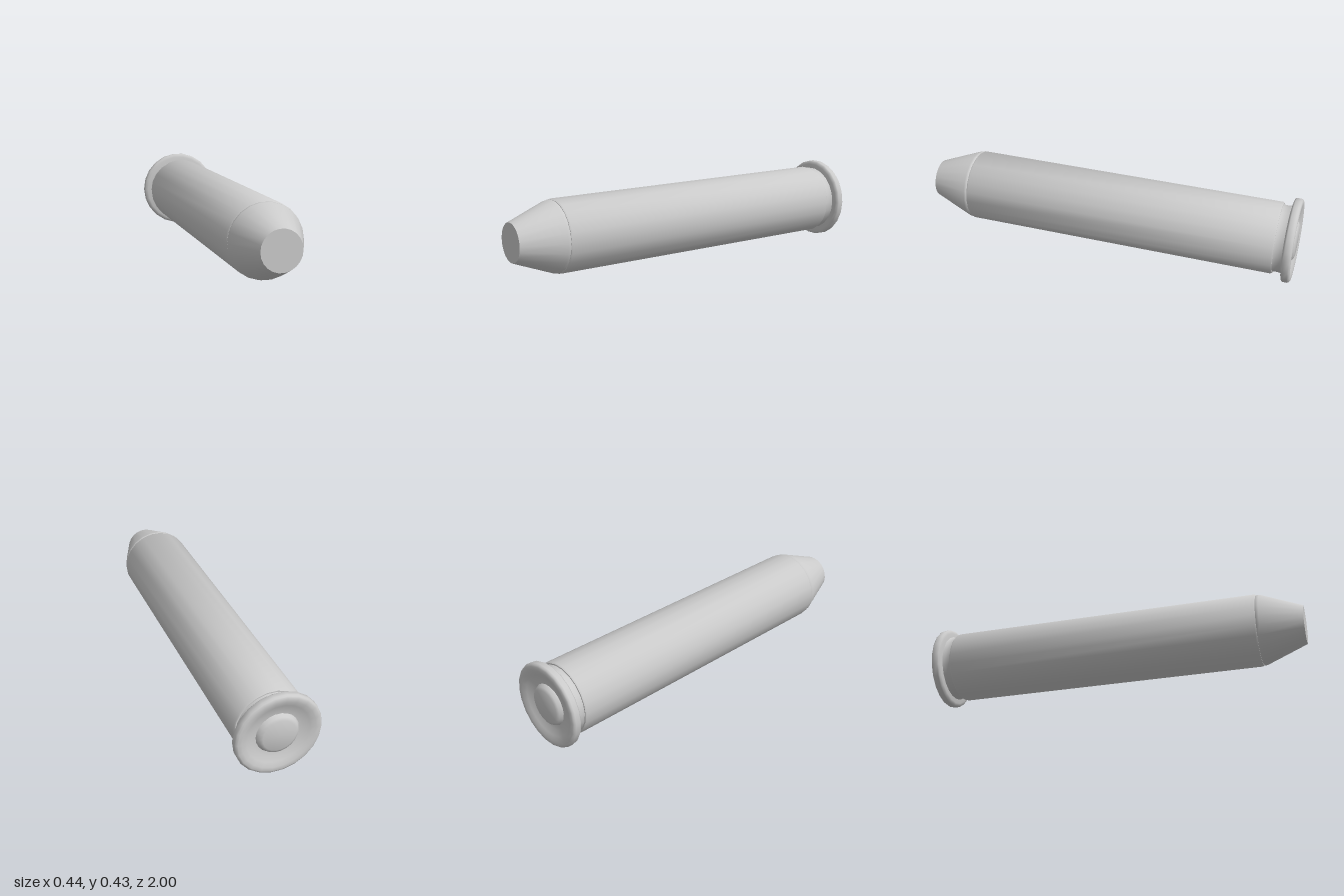
import * as THREE from 'three';
import { toCreasedNormals } from 'three/addons/utils/BufferGeometryUtils.js';

const SIDES = 22;
const AXIS_HEIGHT = 0.217;

export function createModel() {
  const group = new THREE.Group();
  group.name = 'cartridge';
  const material = new THREE.MeshStandardMaterial({ color: 0xcccccc });

  // Turned part along z; profile is [radius, z] from back to front.
  const turned = (name, profile) => {
    const points = profile.map(([r, z]) => new THREE.Vector2(r, z));
    const lathe = new THREE.LatheGeometry(points, SIDES, Math.PI / 2);
    lathe.rotateX(Math.PI / 2);
    const mesh = new THREE.Mesh(toCreasedNormals(lathe, 0.85), material);
    mesh.name = name;
    mesh.position.y = AXIS_HEIGHT;
    group.add(mesh);
  };

  // Raised primer cap in the middle of the base
  turned('primer', [[0, -1], [0.083, -1], [0.098, -0.993], [0.108, -0.975]]);

  // Dished base, rounded rim and the groove in front of it
  turned('rim', [
    [0.108, -0.975], [0.13, -0.978], [0.16, -0.99], [0.185, -0.999], [0.205, -1],
    [0.214, -0.996], [0.219, -0.988], [0.219, -0.964], [0.214, -0.957],
    [0.2, -0.953], [0.178, -0.95],
  ]);
  turned('extractorGroove', [[0.178, -0.95], [0.174, -0.935], [0.174, -0.915], [0.178, -0.902]]);

  // Straight case with small bevels at both ends
  turned('case', [
    [0.174, -0.905], [0.183, -0.905], [0.188, -0.898],
    [0.188, 0.762], [0.183, 0.769], [0.178, 0.769],
  ]);

  // Tapered flat-nosed bullet
  turned('bullet', [[0.178, 0.766], [0.184, 0.774], [0.183, 0.786], [0.1, 1], [0, 1]]);

  return group;
}
